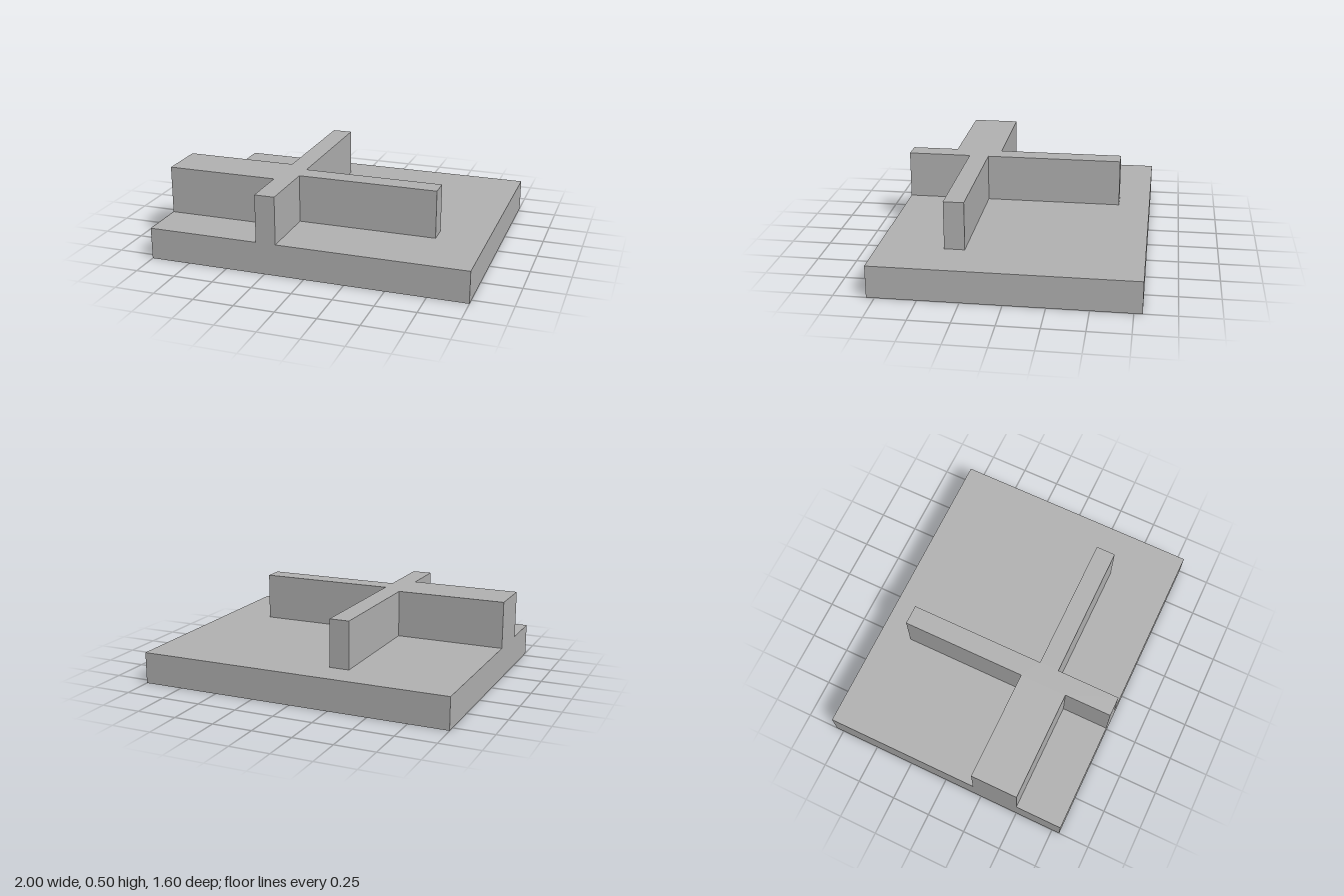
import * as THREE from 'three';

export function createModel() {
  const model = new THREE.Group();
  const grey = new THREE.MeshStandardMaterial({ color: 0xb2b2b2 });
  grey.name = 'grey';

  // Flat rectangular slab
  const base = new THREE.Mesh(new THREE.BoxGeometry(2, 0.2, 1.6), grey);
  base.name = 'base';
  base.position.y = 0.1;
  model.add(base);

  // Crossing walls: plan outline as [x, z], counter-clockwise from above
  const outline = [
    [-1, 0.5], [-0.3, 0.5], [-0.3, 0.8], [-0.175, 0.8],
    [-0.175, 0.395], [0.695, 0.395], [0.695, 0.27], [-0.175, 0.27],
    [-0.175, -0.6], [-0.3, -0.6], [-0.3, 0.2], [-1, 0.2],
  ];
  const plan = new THREE.Shape(outline.map(([x, z]) => new THREE.Vector2(x, -z)));
  const wallGeometry = new THREE.ExtrudeGeometry(plan, { depth: 0.3, bevelEnabled: false });
  wallGeometry.rotateX(-Math.PI / 2);
  const walls = new THREE.Mesh(wallGeometry, grey);
  walls.name = 'crossWalls';
  walls.position.y = 0.2;
  model.add(walls);

  return model;
}
